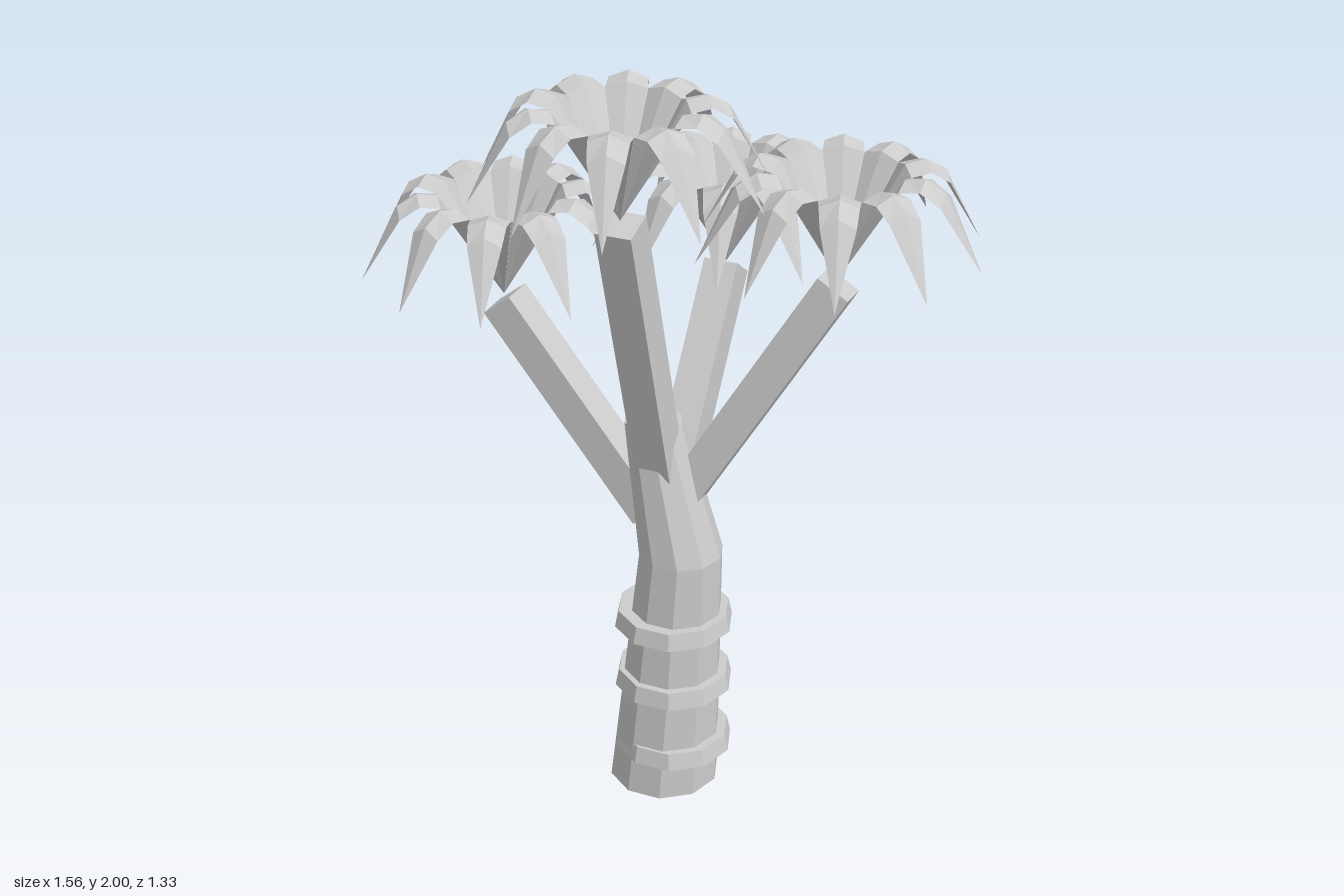
import * as THREE from 'three';

export function createModel() {
  const tree = new THREE.Group();
  tree.name = 'branchingPalm';
  const bark = new THREE.MeshStandardMaterial({ color: 0xcccccc, flatShading: true, side: THREE.DoubleSide });
  bark.name = 'paleGrey';

  const add = (name, geometry, parent = tree) => {
    const mesh = new THREE.Mesh(geometry, bark);
    mesh.name = name;
    parent.add(mesh);
    return mesh;
  };

  // Trunk: ten-sided, leaning one way and then back; sections are x, y, radius
  const trunkZ = 0.08;
  const sections = [[0.013, 0, 0.147], [0.06, 0.7, 0.11], [-0.015, 1.065, 0.075]];
  const trunk = new THREE.CylinderGeometry(1, 1, 2, 10, 2).rotateY(Math.PI / 2);
  const pos = trunk.attributes.position;
  for (let i = 0; i < pos.count; i++) {
    const [x, y, r] = sections[Math.round(pos.getY(i)) + 1];
    pos.setXYZ(i, x + pos.getX(i) * r, y, trunkZ + pos.getZ(i) * r);
  }
  trunk.computeVertexNormals();
  add('trunk', trunk);

  // Bark rings, slightly flared at the bottom
  for (const y of [0.128, 0.322, 0.505]) {
    const ring = new THREE.CylinderGeometry(0.147, 0.157, 0.046, 10).rotateY(Math.PI / 2);
    add('barkRing', ring).position.set(0.04, y, trunkZ);
  }

  // Crown: a hollow funnel whose rim folds over into ten drooping pointed leaves
  const crownGeometry = () => {
    const v = [];
    const tri = (a, b, c) => v.push(...a, ...b, ...c);
    // leaf rows: radius, ridge height, half width, edge height
    const rows = [[0.155, 0.28, 0.05, 0.265], [0.206, 0.29, 0.047, 0.272], [0.256, 0.262, 0.042, 0.24]];
    const apex = [0, 0, 0];
    for (let k = 0; k < 10; k++) {
      const a = (k * Math.PI) / 5, c = Math.cos(a), s = Math.sin(a);
      const point = (r, y, w) => [r * c - w * s, y, r * s + w * c];
      const tip = point(0.354, 0.072, 0);
      for (const side of [-1, 1]) {
        const face = (p, q, r) => (side > 0 ? tri(p, r, q) : tri(p, q, r));
        const ridge = rows.map(([r, y]) => point(r, y, 0));
        const edge = rows.map(([r, , w, y]) => point(r, y, w * side));
        face(apex, ridge[0], edge[0]);
        for (let i = 0; i < 2; i++) {
          face(ridge[i], ridge[i + 1], edge[i + 1]);
          face(ridge[i], edge[i + 1], edge[i]);
        }
        face(ridge[2], tip, edge[2]);
      }
    }
    const g = new THREE.BufferGeometry();
    g.setAttribute('position', new THREE.Float32BufferAttribute(v, 3));
    g.computeVertexNormals();
    return g;
  };
  const crown = crownGeometry();

  // Square branches, each with a crown: root, end, crown base
  const branches = [
    ['front', [0.013, 0.82, 0.07], [0.013, 1.7, 0.33], [0.013, 1.71, 0.33]],
    ['left', [0.055, 0.85, 0.056], [0.426, 1.475, -0.02], [0.424, 1.49, -0.02]],
    ['right', [-0.02, 0.8, 0.075], [-0.426, 1.322, 0.075], [-0.427, 1.335, 0.075]],
    ['back', [0.013, 0.8, 0.05], [0.013, 1.325, -0.328], [0.013, 1.335, -0.33]],
  ];
  const up = new THREE.Vector3(0, 1, 0);
  for (const [side, root, end, base] of branches) {
    const a = new THREE.Vector3(...root), b = new THREE.Vector3(...end);
    const axis = b.clone().sub(a);
    const branch = add(side + 'Branch', new THREE.BoxGeometry(0.092, axis.length(), 0.092));
    branch.position.copy(a).add(b).multiplyScalar(0.5);
    branch.quaternion.setFromUnitVectors(up, axis.normalize());
    add(side + 'Crown', crown).position.set(...base);
  }
  return tree;
}
